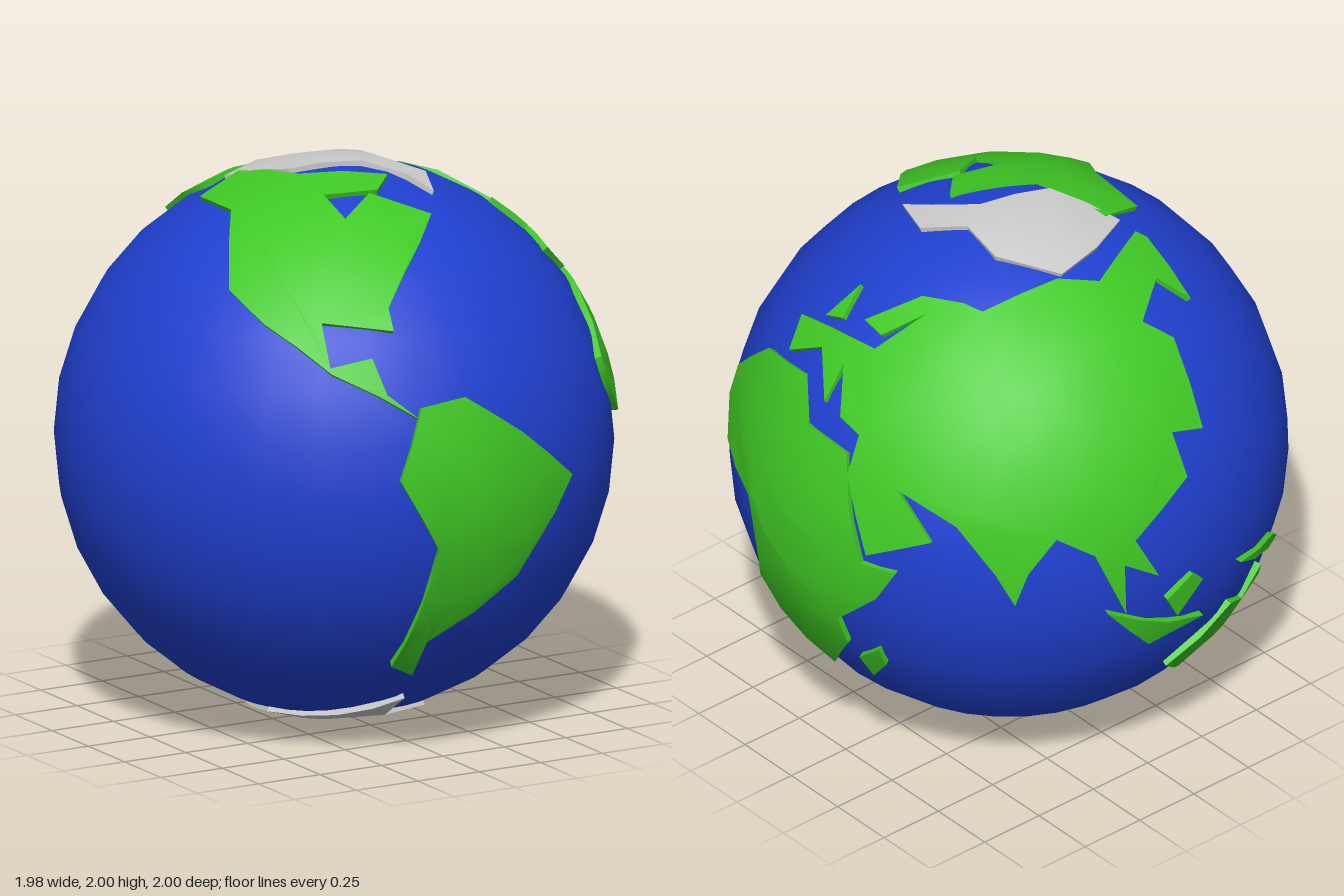
import * as THREE from 'three';
import { toCreasedNormals } from 'three/addons/utils/BufferGeometryUtils.js';

const OCEAN = 0.983, LAND = 1, FOOT = 0.96, MAX_EDGE = 0.26;

// Returns a function that lifts flat (u, v) pairs, seen from an azimuth and elevation, onto the unit sphere
function projector(azimuth, elevation) {
  const a = THREE.MathUtils.degToRad(azimuth), e = THREE.MathUtils.degToRad(elevation);
  const right = new THREE.Vector3(Math.cos(a), 0, -Math.sin(a));
  const toward = new THREE.Vector3(Math.sin(a) * Math.cos(e), Math.sin(e), Math.cos(a) * Math.cos(e));
  const frame = new THREE.Matrix4().makeBasis(right, toward.clone().cross(right), toward);
  return (...n) => {
    const out = [];
    for (let i = 0; i < n.length; i += 2) {
      const w = Math.sqrt(Math.max(0, 1 - n[i] ** 2 - n[i + 1] ** 2));
      out.push(new THREE.Vector3(n[i], n[i + 1], w).normalize().applyMatrix4(frame));
    }
    return out;
  };
}
const front = projector(0, 0), side = projector(90, 0), top = projector(0, 90), bottom = projector(0, -90);
const backEast = projector(215, 25), backSouth = projector(140, -28);

// Raised plate over a coastline: triangulated on a stereographic map, refined, lifted and given cliffs
function plate(coast) {
  const centre = coast.reduce((s, p) => s.add(p), new THREE.Vector3()).normalize();
  const turn = new THREE.Quaternion().setFromUnitVectors(new THREE.Vector3(0, 0, 1), centre);
  const back = turn.clone().invert();
  const flat = coast.map((p) => {
    const q = p.clone().applyQuaternion(back);
    return new THREE.Vector2(q.x, q.y).divideScalar(1 + q.z);
  });
  const lift = (p) => {
    const r = p.lengthSq();
    return new THREE.Vector3(2 * p.x, 2 * p.y, 1 - r).divideScalar(1 + r).applyQuaternion(turn);
  };
  const tris = [];
  const refine = (a, b, c) => {
    const A = lift(a), B = lift(b), C = lift(c);
    const [ab, bc, ca] = [A.distanceTo(B), B.distanceTo(C), C.distanceTo(A)];
    const longest = Math.max(ab, bc, ca);
    if (longest < MAX_EDGE) return tris.push([A, B, C]);
    if (bc === longest) [a, b, c] = [b, c, a];
    else if (ca === longest) [a, b, c] = [c, a, b];
    const mid = a.clone().lerp(b, 0.5);
    refine(a, mid, c);
    refine(mid, b, c);
  };
  for (const [i, j, k] of THREE.ShapeUtils.triangulateShape(flat, [])) {
    const [a, b, c] = [flat[i], flat[j], flat[k]];
    if (b.clone().sub(a).cross(c.clone().sub(a)) > 0) refine(a, b, c);
    else refine(a, c, b);
  }

  const points = [];
  const put = (p, r) => points.push(p.clone().multiplyScalar(r));
  const key = (p) => p.toArray().map((v) => v.toFixed(5)).join();
  const edges = new Map();
  for (const t of tris) {
    t.forEach((p, i) => {
      put(p, LAND);
      const q = t[(i + 1) % 3];
      edges.set(key(p) + '|' + key(q), [p, q]);
    });
  }
  // cliffs along edges used by one triangle only
  for (const [p, q] of edges.values()) {
    if (edges.has(key(q) + '|' + key(p))) continue;
    put(p, LAND); put(p, FOOT); put(q, FOOT);
    put(p, LAND); put(q, FOOT); put(q, LAND);
  }
  return toCreasedNormals(new THREE.BufferGeometry().setFromPoints(points), 0.7);
}

const lands = {
  southAmerica: front(-0.19, 0.33, -0.02, 0.35, 0.2, 0.2, 0.44, 0, 0.35, -0.12, 0.2, -0.33,
    -0.11, -0.55, -0.1, -0.7, -0.2, -0.65, -0.145, -0.18, -0.29, 0.08),
  northAmerica: [
    // west coast, arctic coast, then the east coast and the isthmus
    ...front(-0.2, 0.29, -0.46, 0.45, -0.6, 0.6),
    ...top(-0.635, -0.35, -0.455, -0.06, -0.44, 0.18, -0.26, 0.22, -0.18, -0.06, 0.1, -0.2, 0, -0.3,
      -0.19, -0.25, -0.19, -0.4, -0.04, -0.31, 0.13, -0.45),
    ...front(0.01, 0.82, -0.21, 0.65, -0.22, 0.58, -0.44, 0.61, -0.46, 0.47, -0.32, 0.5, -0.3, 0.38),
  ],
  africa: side(-0.4, 0.51, -0.15, 0.56, -0.05, 0.44, 0.17, 0.42, 0.31, 0.05, 0.44, 0.05, 0.37, -0.08,
    0.19, -0.25, 0.2, -0.365, 0, -0.6, -0.18, -0.605, -0.285, -0.33, -0.24, -0.2, -0.28, 0.035,
    -0.525, 0.095, -0.61, 0.21, -0.6, 0.32),
  eurasia: [
    // western coast and southern peninsulas
    ...side(0.24, 0.88, 0.1, 0.87, -0.03, 0.77, 0.07, 0.76, 0.16, 0.84, 0.08, 0.725, -0.22, 0.69,
      -0.32, 0.66, -0.28, 0.57, -0.13, 0.65, 0, 0.53, 0, 0.65, 0.09, 0.515, 0.19, 0.49, 0.2, 0.355,
      0.33, 0.09, 0.54, 0.2, 0.39, 0.36, 0.6, 0.27, 0.725, 0.1, 0.775, -0.03, 0.8, 0.1),
    ...backSouth(0.16, 0.65, 0.295, 0.57, 0.405, 0.31, 0.4, 0.5),
    // eastern coast
    ...backEast(-0.69, -0.31, -0.74, -0.125, -0.53, -0.04, -0.5, 0.13, -0.395, 0.06, -0.25, 0.36,
      -0.285, 0.47, -0.08, 0.515, -0.05, 0.385, 0.09, 0.59),
    // arctic coast
    ...top(-0.32, 0.31, -0.03, 0.455, 0.1, 0.38, 0.385, 0.31),
  ],
  australia: backEast(-0.485, -0.775, -0.31, -0.69, -0.2, -0.74, -0.13, -0.665, -0.09, -0.72,
    0.105, -0.825, 0.095, -0.91, -0.255, -0.91),
  southeastIslandChain: backEast(-0.815, -0.34, -0.66, -0.58, -0.475, -0.62, -0.63, -0.53),
  southeastIsland: backEast(-0.655, -0.43, -0.575, -0.395, -0.53, -0.45, -0.6, -0.53),
  northernReefIsland: backEast(-0.34, -0.525, -0.08, -0.585, 0.035, -0.655, -0.23, -0.585),
  eastAfricanIsland: side(0.33, -0.34, 0.33, -0.42, 0.23, -0.53, 0.22, -0.43),
  atlanticIsland: side(-0.2, 0.715, -0.12, 0.74, -0.15, 0.82),
};

const ice = {
  northIce: top(-0.3, 0.25, -0.115, 0.34, 0.075, 0.375, 0.215, 0.18, 0.19, 0, 0.29, -0.14, 0.22, -0.315,
    0.18, -0.2, 0.08, -0.06, -0.18, 0.01),
  southIce: bottom(0.18, 0.32, 0.29, 0.07, 0.25, -0.13, 0.07, -0.29, -0.3, -0.16, -0.36, 0.15,
    -0.05, 0.57, 0, 0.35),
};

export function createModel() {
  const globe = new THREE.Group();
  globe.name = 'globe';
  const add = (name, geometry, color) => {
    const mesh = new THREE.Mesh(geometry, new THREE.MeshStandardMaterial({ color }));
    mesh.name = name;
    mesh.position.y = 1;
    globe.add(mesh);
  };
  add('ocean', new THREE.SphereGeometry(OCEAN, 32, 16), 0x2040d0);
  for (const [name, coast] of Object.entries(lands)) add(name, plate(coast), 0x40c824);
  for (const [name, coast] of Object.entries(ice)) add(name, plate(coast), 0xcccccc);
  return globe;
}
